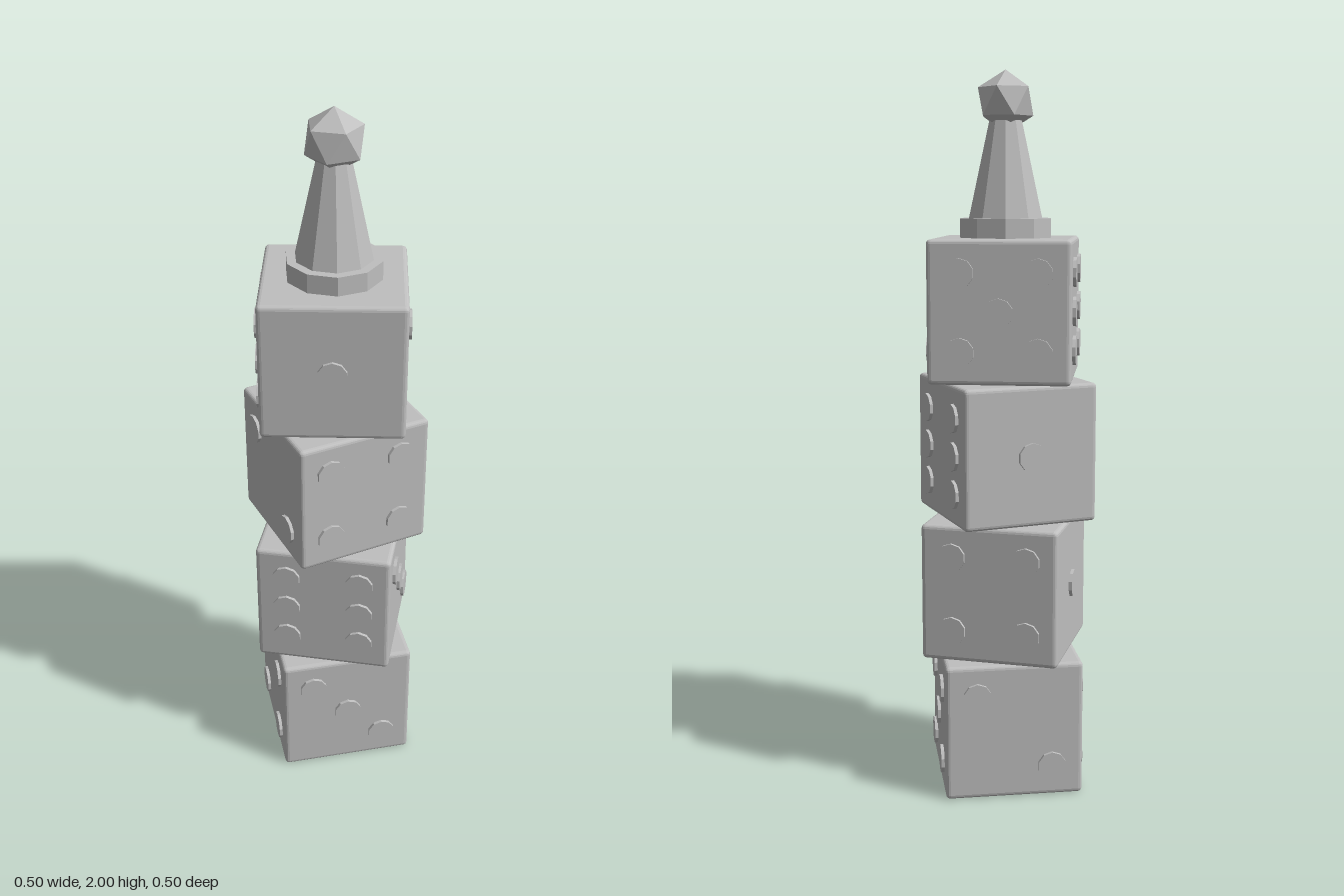
import * as THREE from 'three';
import { RoundedBoxGeometry } from 'three/addons/geometries/RoundedBoxGeometry.js';

const SIZE = 0.386, PITCH = 0.389, OFF = 0.105;

// Pip layouts in face coordinates: x right, y up, as seen from outside
const TWO = [[-1, 1], [1, -1]];
const FOUR = [...TWO, [1, 1], [-1, -1]];
const LAYOUT = {
  1: [[0, 0]],
  2: TWO,
  3: [...TWO, [0, 0]],
  4: FOUR,
  5: [...FOUR, [0, 0]],
  6: [...FOUR, [-1, 0], [1, 0]],
};

// Turn of each die in degrees, and the pips on its front, left (+x), back and right (-x)
const DICE = [
  { turn: 8, faces: [3, 5, 2, 4] },
  { turn: -14, faces: [6, 3, 4, 1] },
  { turn: 22, faces: [4, 6, 1, 2] },
  { turn: -5.5, faces: [1, 2, 5, 6] },
];

export function createModel() {
  const model = new THREE.Group();
  model.name = 'diceTower';
  const grey = new THREE.MeshStandardMaterial({ color: 0xbfbfbf, flatShading: true });
  grey.name = 'stone grey';

  const add = (parent, name, geometry, x, y, z) => {
    const mesh = new THREE.Mesh(geometry, grey);
    mesh.name = name;
    mesh.position.set(x, y, z);
    parent.add(mesh);
    return mesh;
  };

  // Stacked dice with raised pips
  const cube = new RoundedBoxGeometry(SIZE, SIZE, SIZE, 2, 0.012);
  const pip = new THREE.CylinderGeometry(0.04, 0.04, 0.018, 10).rotateX(Math.PI / 2);
  DICE.forEach(({ turn, faces }, i) => {
    const die = new THREE.Group();
    die.name = `die${i + 1}`;
    die.position.y = PITCH * i + SIZE / 2;
    die.rotation.y = THREE.MathUtils.degToRad(turn);
    add(die, 'dieBody', cube, 0, 0, 0);
    faces.forEach((count, f) => {
      const face = new THREE.Group();
      face.name = 'pipFace';
      face.rotation.y = f * Math.PI / 2;
      for (const [u, v] of LAYOUT[count]) add(face, 'pip', pip, u * OFF, v * OFF, SIZE / 2);
      die.add(face);
    });
    model.add(die);
  });

  // Pawn: ten-sided foot, tapered shaft and faceted head
  const pawn = new THREE.Group();
  pawn.name = 'pawn';
  pawn.position.y = 1.553;
  add(pawn, 'pawnFoot', new THREE.CylinderGeometry(0.13, 0.13, 0.052, 10), 0, 0.026, 0);
  add(pawn, 'pawnShaft', new THREE.CylinderGeometry(0.046, 0.105, 0.262, 10), 0, 0.183, 0);
  const head = new THREE.IcosahedronGeometry(0.084, 0)
    .rotateX(-Math.atan((1 + Math.sqrt(5)) / 2))
    .rotateY(Math.PI / 2);
  add(pawn, 'pawnHead', head, 0, 0.363, 0);
  model.add(pawn);

  return model;
}
